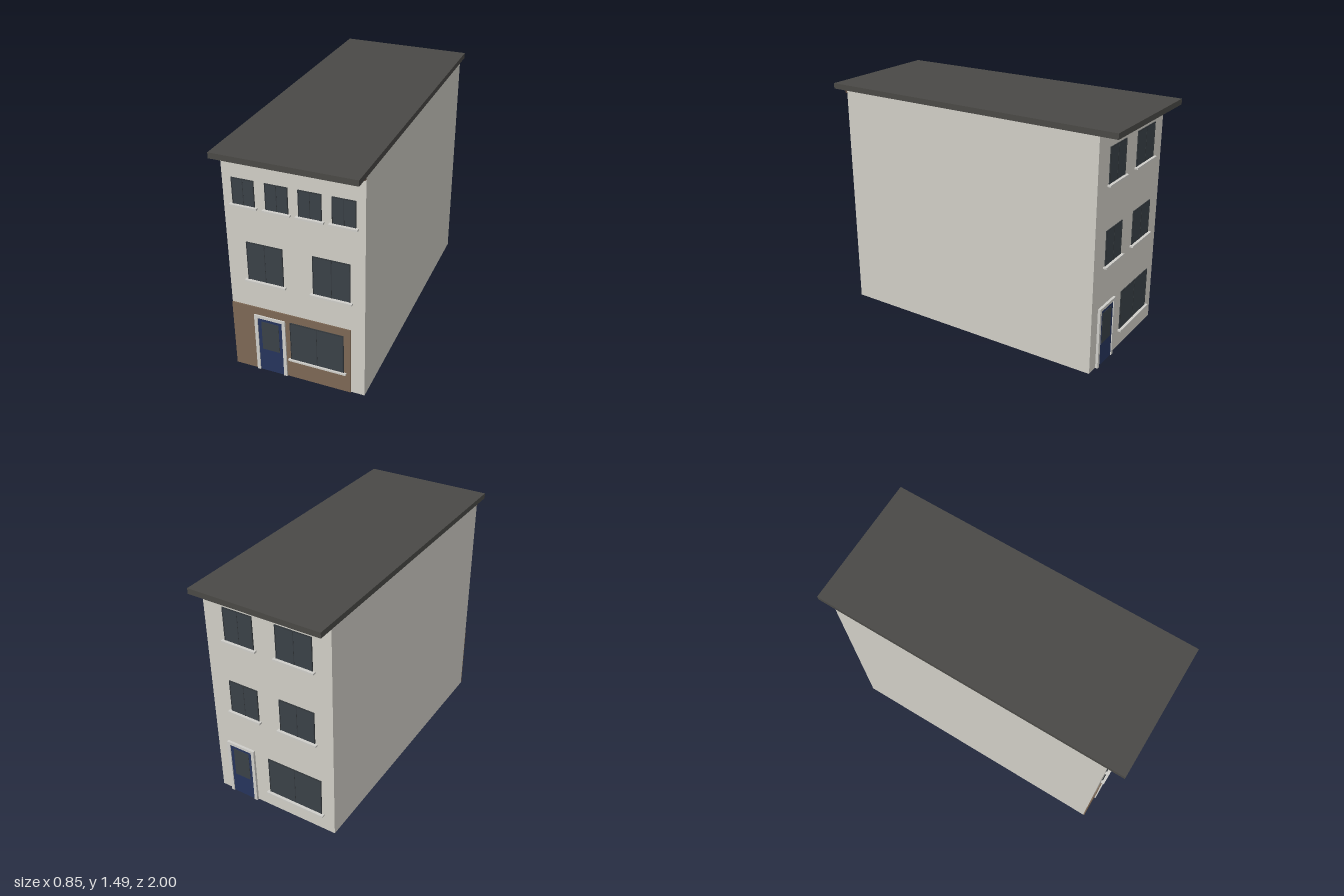
import * as THREE from 'three';

const mat = (color) => new THREE.MeshStandardMaterial({ color });
const MATS = {
  wall: mat(0xd0cec6), roof: mat(0x4a4946), cladding: mat(0x7d6855), trim: mat(0xcfcec9),
  door: mat(0x26345c), glass: mat(0x3a4147), frame: mat(0x33383c), fascia: mat(0x5e4a40),
};
MATS.wall.side = THREE.DoubleSide;

const FACE = 0.892; // distance of front and back walls from the centre
const HALF = 0.42;
const WALL_TOP = 1.452;

// Box given by its extents
function block(parent, name, material, x0, x1, y0, y1, z0, z1) {
  const mesh = new THREE.Mesh(new THREE.BoxGeometry(x1 - x0, y1 - y0, z1 - z0), material);
  mesh.position.set((x0 + x1) / 2, (y0 + y1) / 2, (z0 + z1) / 2);
  mesh.name = name;
  parent.add(mesh);
  return mesh;
}

// Glazed window with slim frame, centre mullion and projecting sill; z = 0 is the wall face
function addWindow(parent, [x0, x1, y0, y1], base = 0) {
  const g = new THREE.Group();
  g.name = 'window';
  const t = 0.005, zf = base + 0.006, mid = (x0 + x1) / 2;
  block(g, 'windowGlass', MATS.glass, x0 + t, x1 - t, y0, y1 - t, 0, base + 0.004);
  block(g, 'frameSide', MATS.frame, x0, x0 + t, y0, y1, 0, zf);
  block(g, 'frameSide', MATS.frame, x1 - t, x1, y0, y1, 0, zf);
  block(g, 'frameHead', MATS.frame, x0 + t, x1 - t, y1 - t, y1, 0, zf);
  block(g, 'mullion', MATS.frame, mid - 0.002, mid + 0.002, y0, y1 - t, 0, base + 0.005);
  block(g, 'windowSill', MATS.trim, x0 - 0.015, x1 + 0.015, y0 - 0.011, y0, 0, 0.022);
  parent.add(g);
}

// Door with surround and glass panel; x is its centre
function addDoor(parent, x, top) {
  const g = new THREE.Group();
  g.name = 'door';
  for (const s of [-1, 1]) {
    const a = x + s * 0.079, b = x + s * 0.1;
    block(g, 'doorJamb', MATS.trim, Math.min(a, b), Math.max(a, b), 0, top, 0, 0.016);
  }
  block(g, 'doorHead', MATS.trim, x - 0.079, x + 0.079, top - 0.019, top, 0, 0.016);
  block(g, 'doorLeaf', MATS.door, x - 0.079, x + 0.079, 0, top - 0.019, 0, 0.01);
  block(g, 'doorGlass', MATS.glass, x - 0.056, x + 0.056, top - 0.245, top - 0.042, 0.008, 0.012);
  parent.add(g);
}

export function createModel() {
  const house = new THREE.Group();
  house.name = 'townHouse';

  // Wall shell, open underneath
  const walls = new THREE.Group();
  walls.name = 'walls';
  for (let i = 0; i < 4; i++) {
    const side = i % 2 === 1;
    const wall = new THREE.Mesh(
      new THREE.PlaneGeometry(side ? FACE * 2 : HALF * 2, WALL_TOP), MATS.wall);
    const a = i * Math.PI / 2, d = side ? HALF : FACE;
    wall.position.set(Math.sin(a) * d, WALL_TOP / 2, Math.cos(a) * d);
    wall.rotation.y = a;
    wall.name = ['frontWall', 'leftWall', 'backWall', 'rightWall'][i];
    walls.add(wall);
  }
  house.add(walls);

  // Flat roof slab
  block(house, 'roof', MATS.roof, -0.427, 0.423, WALL_TOP, 1.487, -1, 1);

  // Front facade
  const front = new THREE.Group();
  front.name = 'frontFacade';
  front.position.z = FACE;
  house.add(front);
  block(front, 'cladding', MATS.cladding, -HALF, 0.335, 0, 0.46, 0, 0.007);
  block(front, 'fascia', MATS.fascia, -HALF, HALF, 1.437, WALL_TOP, 0, 0.014);
  addDoor(front, -0.175, 0.409);
  addWindow(front, [-0.045, 0.293, 0.141, 0.409], 0.007);
  for (const x of [-0.298, 0.108]) addWindow(front, [x, x + 0.225, 0.654, 0.905]);
  for (const x of [-0.362, -0.161, 0.035, 0.23]) addWindow(front, [x, x + 0.136, 1.142, 1.304]);

  // Back facade, turned around so its local x runs opposite to the model's
  const back = new THREE.Group();
  back.name = 'backFacade';
  back.position.z = -FACE;
  back.rotation.y = Math.PI;
  house.add(back);
  addDoor(back, -0.243, 0.393);
  addWindow(back, [-0.042, 0.333, 0.118, 0.378]);
  for (const [y0, y1] of [[0.647, 0.865], [1.145, 1.36]]) {
    addWindow(back, [-0.287, -0.087, y0, y1]);
    addWindow(back, [0.063, 0.3, y0, y1]);
  }
  return house;
}
